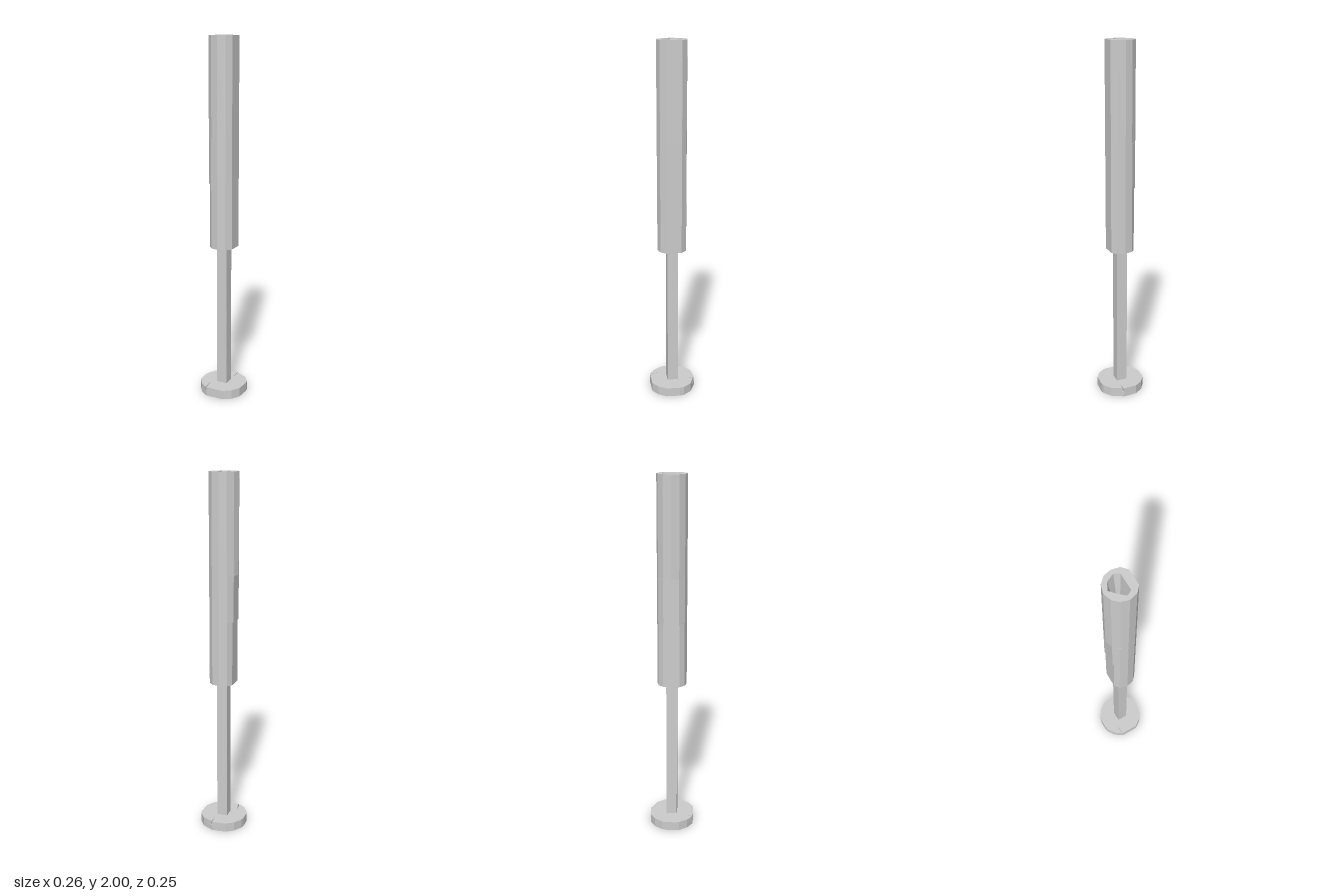
import * as THREE from 'three';

const material = new THREE.MeshStandardMaterial({ color: 0xcccccc, flatShading: true, side: THREE.DoubleSide });
const toPoints = (list) => list.map(([x, z]) => new THREE.Vector2(x, z));

// Upright prism from an (x, z) outline, with an optional hole
function prism(name, outline, bottom, top, hole) {
  const shape = new THREE.Shape(toPoints(outline));
  if (hole) shape.holes.push(new THREE.Path(toPoints(hole)));
  const geometry = new THREE.ExtrudeGeometry(shape, { depth: top - bottom, bevelEnabled: false });
  geometry.rotateX(Math.PI / 2).translate(0, top, 0);
  const mesh = new THREE.Mesh(geometry, material);
  mesh.name = name;
  return mesh;
}

// Faceted socket: each ring is the mouth outline scaled inward at a lower height
function socket(mouth, rings) {
  const positions = [];
  const corner = ([scale, y], i) => {
    const [x, z] = mouth[i % mouth.length];
    return [x * scale, y, z * scale];
  };
  for (let r = 0; r < rings.length - 1; r++) {
    for (let i = 0; i < mouth.length; i++) {
      const a = corner(rings[r], i), b = corner(rings[r], i + 1);
      const c = corner(rings[r + 1], i + 1), d = corner(rings[r + 1], i);
      positions.push(...a, ...b, ...c, ...a, ...c, ...d);
    }
  }
  const geometry = new THREE.BufferGeometry();
  geometry.setAttribute('position', new THREE.Float32BufferAttribute(positions, 3));
  geometry.computeVertexNormals();
  const mesh = new THREE.Mesh(geometry, material);
  mesh.name = 'socket';
  return mesh;
}

export function createModel() {
  const model = new THREE.Group();
  model.name = 'post';

  // Foot disc: whole below, with two thin splits in its upper layer
  const footRight = [[0.09, -0.095], [0.123, -0.05], [0.128, -0.025], [0.123, 0.05], [0.095, 0.095], [0.05, 0.125]];
  const footLeft = [[-0.095, 0.095], [-0.125, 0.05], [-0.13, 0.025], [-0.13, -0.025], [-0.123, -0.05], [-0.095, -0.093], [-0.05, -0.122]];
  const foot = [[0.025, -0.128], ...footRight, [-0.05, 0.125], ...footLeft];
  const splitFoot = [
    [0.027, -0.128], [0.03, -0.07], [0.033, -0.12], ...footRight,
    [-0.051, 0.125], [-0.06, 0.055], [-0.059, 0.121], ...footLeft,
  ];
  model.add(prism('footBase', foot, 0, 0.03));
  model.add(prism('footTop', splitFoot, 0.03, 0.052));

  // Square shaft
  const shaft = new THREE.Mesh(new THREE.BoxGeometry(0.06, 0.84, 0.06), material);
  shaft.name = 'shaft';
  shaft.position.y = 0.46;
  model.add(shaft);

  // Sleeve: flat on its left, its right side swelling near the top
  const sleeveLeft = [[0, -0.08], [0.042, -0.071], [0.068, -0.042], [0.068, 0.042], [0.042, 0.071], [0, 0.082]];
  const upper = [...sleeveLeft, [-0.04, 0.071], [-0.07, 0.042], [-0.083, 0], [-0.07, -0.042], [-0.04, -0.071]];
  const middle = [...sleeveLeft, [-0.042, 0.071], [-0.07, 0.042], [-0.07, -0.042], [-0.042, -0.071]];
  const lower = [...sleeveLeft, [-0.042, 0.071], [-0.064, 0.044], [-0.064, -0.044], [-0.042, -0.071]];
  const mouth = [[0, -0.058], [0.027, -0.045], [0.027, 0.046], [0, 0.06], [-0.03, 0.033], [-0.06, 0], [-0.042, -0.038]];
  model.add(prism('upperSleeve', upper, 1.47, 2, mouth));
  model.add(prism('middleSleeve', middle, 1.22, 1.47));
  model.add(prism('lowerSleeve', lower, 0.865, 1.22));
  model.add(socket(mouth, [[1, 2], [0.75, 1.9], [0, 1.5]]));

  return model;
}
